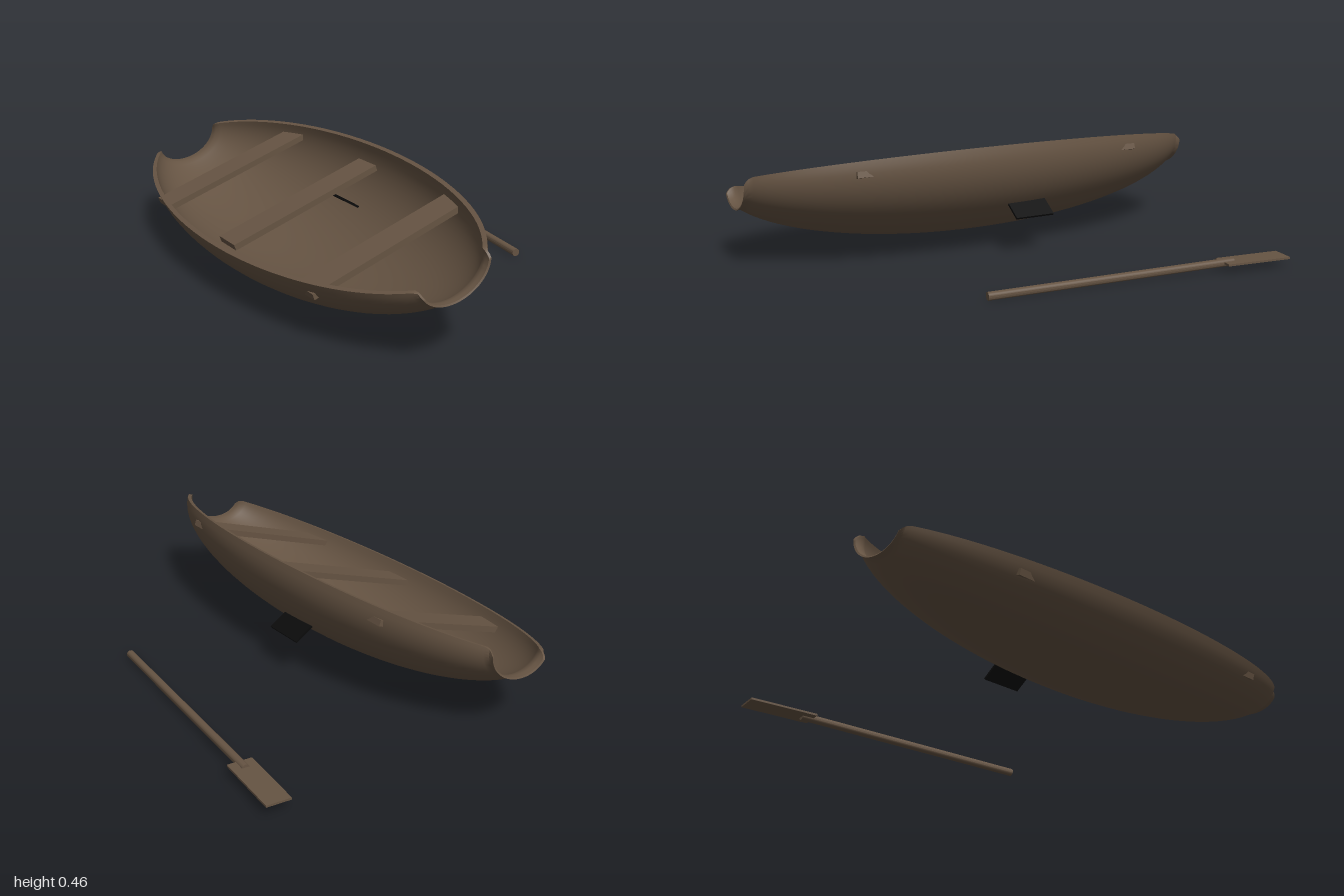
import * as THREE from 'three';
import { toCreasedNormals } from 'three/addons/utils/BufferGeometryUtils.js';

// Thick half-elliptical shell, open at both ends, rim on local y = 0
function hullGeometry() {
  const rows = 48, cols = 32, thick = 0.018, depth = 0.723;
  const halfWidth = z => 0.405 * Math.sqrt(1 - (z / 1.05) ** 2);
  const outer = [], inner = [];
  for (let i = 0; i <= rows; i++) {
    const z = Math.sin((i / rows - 0.5) * Math.PI);
    // rim corners round off towards both ends
    const inset = 0.25 * Math.max(0, (Math.abs(z) - 0.965) / 0.035) ** 2;
    outer.push([z, Math.max(halfWidth(z), 0.146), inset]);
    inner.push([z * 0.997, Math.max(halfWidth(z) - thick, 0.138), inset]);
  }
  const profile = [...outer, ...inner.reverse()], n = profile.length;
  const pos = [], idx = [];
  for (const [z, a, inset] of profile) {
    for (let j = 0; j <= cols; j++) {
      const t = inset + (Math.PI - 2 * inset) * j / cols;
      pos.push(a * Math.cos(t), -a * depth * Math.sin(t), z);
    }
  }
  const at = (i, j) => (i % n) * (cols + 1) + j;
  const quad = (a, b, c, d) => idx.push(a, b, c, a, c, d);
  // outside, end lips and inside
  for (let i = 0; i < n; i++)
    for (let j = 0; j < cols; j++)
      quad(at(i, j), at(i + 1, j), at(i + 1, j + 1), at(i, j + 1));
  // rim strips on both sides
  for (let i = 0; i < rows; i++) {
    const k = n - 1 - i;
    quad(at(i, 0), at(k, 0), at(k - 1, 0), at(i + 1, 0));
    quad(at(i, cols), at(i + 1, cols), at(k - 1, cols), at(k, cols));
  }
  const geo = new THREE.BufferGeometry();
  geo.setAttribute('position', new THREE.Float32BufferAttribute(pos, 3));
  geo.setIndex(idx);
  return toCreasedNormals(geo, 0.7);
}

export function createModel() {
  const wood = new THREE.MeshStandardMaterial({ color: 0x665443 });
  wood.name = 'brown wood';
  const black = new THREE.MeshStandardMaterial({ color: 0x0b0b0b });
  black.name = 'black';

  const model = new THREE.Group();
  model.name = 'rowingBoat';
  const add = (parent, name, geo, mat, x = 0, y = 0, z = 0) => {
    const mesh = new THREE.Mesh(geo, mat);
    mesh.name = name;
    mesh.position.set(x, y, z);
    parent.add(mesh);
    return mesh;
  };

  // boat heeled over on its side
  const boat = new THREE.Group();
  boat.name = 'boat';
  boat.position.set(-0.317, 0.335, 0);
  boat.rotation.z = 0.314;
  model.add(boat);
  add(boat, 'hull', hullGeometry(), wood);

  // bench seats, the end ones poking through the hull
  const bench = new THREE.BoxGeometry(0.665, 0.024, 0.12);
  [['frontSeat', 0.56], ['middleSeat', -0.003], ['backSeat', -0.565]].forEach(
    ([name, z]) => add(boat, name, bench, wood, 0, -0.05, z));

  // dark plate pushed through the side
  const plate = add(model, 'sidePlate', new THREE.BoxGeometry(0.2, 0.009, 0.17), black, -0.015, 0.21, -0.113);
  plate.rotation.z = -0.57;

  // oar lying beside the boat
  const start = new THREE.Vector3(0.515, 0.017, 0.335);
  const end = new THREE.Vector3(0.627, 0.036, -0.672);
  const dir = end.clone().sub(start);
  const oar = new THREE.Group();
  oar.name = 'oar';
  model.add(oar);
  const shaft = add(oar, 'oarShaft',
    toCreasedNormals(new THREE.CylinderGeometry(0.016, 0.016, dir.length(), 16), 0.7), wood);
  shaft.position.copy(start).add(end).multiplyScalar(0.5);
  shaft.quaternion.setFromUnitVectors(new THREE.Vector3(0, 1, 0), dir.normalize());
  const blade = add(oar, 'oarBlade', new THREE.BoxGeometry(0.096, 0.008, 0.277), wood, 0.638, 0.037, -0.763);
  blade.rotation.y = -0.11;

  return model;
}
